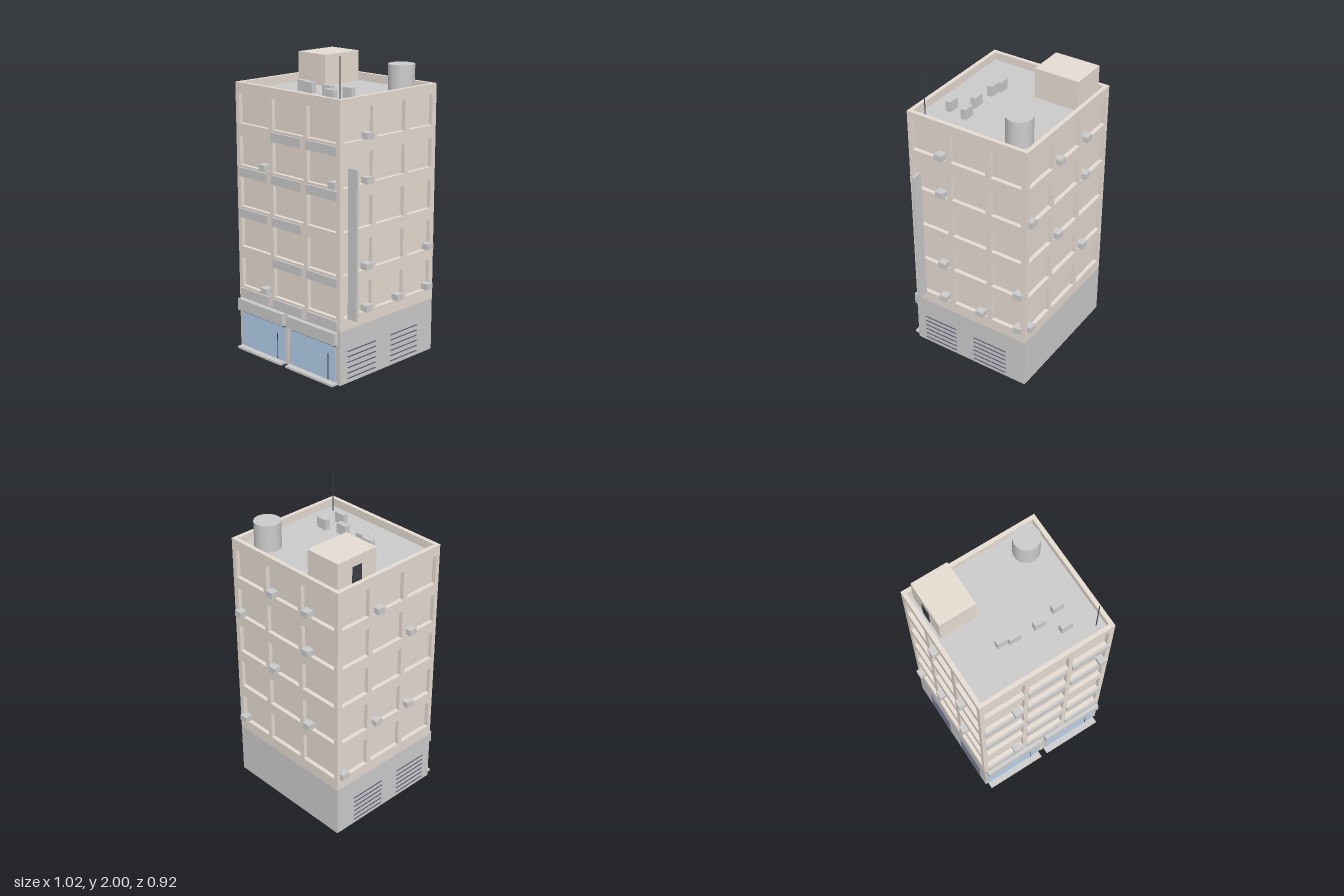
import * as THREE from 'three';

const mat = (color) => new THREE.MeshStandardMaterial({ color });
const grey = mat(0xcccccc), beige = mat(0xe6dcd2), roofGrey = mat(0xbcbcc0);
const glass = mat(0xb5d0ec), dark = mat(0x3c4048), slatBlue = mat(0x5c6078);

// Overall extents of the block
const X0 = -0.487, X1 = 0.437, Z0 = -0.437, Z1 = 0.41;
const BASE = 0.35, ROOF = 1.713, TOP = 1.765, T = 0.027;
const sills = [1.506, 1.237, 0.967, 0.698, 0.429];
const bayH = 0.192;
const baysX = [[-0.456, -0.181], [-0.149, 0.126], [0.157, 0.403]];
const baysZ = [[-0.4, -0.185], [-0.148, 0.1], [0.135, 0.38]];

export function createModel() {
  const model = new THREE.Group();

  const add = (parent, name, geometry, material) => {
    const mesh = new THREE.Mesh(geometry, material);
    mesh.name = name;
    parent.add(mesh);
    return mesh;
  };
  // Box given by its minimum and maximum on each axis
  const box = (name, material, x0, x1, y0, y1, z0, z1, parent = model) => {
    const mesh = add(parent, name, new THREE.BoxGeometry(x1 - x0, y1 - y0, z1 - z0), material);
    mesh.position.set((x0 + x1) / 2, (y0 + y1) / 2, (z0 + z1) / 2);
    return mesh;
  };
  const group = (name) => {
    const g = new THREE.Group();
    g.name = name;
    model.add(g);
    return g;
  };

  // Ground floor, core and roof deck
  box('groundFloor', grey, X0, X1, 0, BASE, Z0, Z1);
  box('core', beige, X0 + T, X1 - T, BASE, ROOF - 0.01, Z0 + T, Z1 - T);
  box('roofDeck', roofGrey, X0 + T, X1 - T, ROOF - 0.01, ROOF, Z0 + T, Z1 - T);

  // Pierced facade layers rising into the parapet
  const facade = (name, a, b, bays) => {
    const shape = new THREE.Shape([[a, BASE], [b, BASE], [b, TOP], [a, TOP]]
      .map(([u, v]) => new THREE.Vector2(u, v)));
    for (const s of sills) for (const [p, q] of bays) {
      shape.holes.push(new THREE.Path([[p, s], [p, s + bayH], [q, s + bayH], [q, s]]
        .map(([u, v]) => new THREE.Vector2(u, v))));
    }
    return add(model, name, new THREE.ExtrudeGeometry(shape, { depth: T, bevelEnabled: false }), beige);
  };
  facade('frontFacade', X0, X1, baysX).position.z = Z1 - T;
  facade('backFacade', X0, X1, baysX).position.z = Z0;
  const flipped = baysZ.map(([a, b]) => [-b, -a]);
  for (const [name, x] of [['leftFacade', X1 - T], ['rightFacade', X0]]) {
    const side = facade(name, -(Z1 - T), -(Z0 + T), flipped);
    side.rotation.y = Math.PI / 2; // shape u runs along -z
    side.position.x = x;
  }

  // Shopfronts
  for (const [name, x0, x1, g0, g1, handle] of [
    ['rightShop', -0.472, -0.045, -0.452, -0.052, -0.12],
    ['leftShop', -0.01, 0.42, 0.01, 0.402, 0.34],
  ]) {
    const shop = group(name);
    box('fascia', grey, x0, x1, 0.265, 0.343, Z1, 0.443, shop);
    box('step', grey, x0 + 0.005, x1 - 0.005, 0, 0.014, Z1, 0.457, shop);
    box('shopWindow', glass, g0, g1, 0.014, 0.247, Z1 - 0.01, Z1 + 0.004, shop);
    box('windowHead', dark, g0, g1, 0.247, 0.252, Z1 - 0.01, Z1 + 0.005, shop);
    box('doorHandle', dark, handle - 0.002, handle + 0.002, 0.015, 0.19, Z1, Z1 + 0.007, shop);
  }
  box('centrePier', beige, -0.034, -0.014, 0, BASE, Z1 - 0.01, Z1 + 0.002);

  // Louvre vents on both sides of the ground floor
  const vents = group('sideVents');
  for (const x of [X0, X1]) {
    for (const [z0, z1] of [[-0.29, -0.042], [0.097, 0.343]]) {
      for (let i = 0; i < 6; i++) {
        const y = 0.03 + i * 0.0355;
        box('ventSlat', slatBlue, x - 0.004, x + 0.004, y - 0.003, y + 0.003, z0, z1, vents);
      }
    }
  }

  // Board signs below the front bays, one list of columns per floor
  const boards = group('floorBoards');
  const boardX = [-0.461, -0.153, 0.156];
  [[1, 2], [0, 1, 2], [0, 1], [1, 2], [0, 1, 2]].forEach((cols, row) => {
    const y = sills[row] - 0.072;
    for (const c of cols) {
      box('floorBoard', grey, boardX[c], boardX[c] + 0.264, y, y + 0.057, Z1, Z1 + 0.011, boards);
    }
  });

  // Air conditioners as [position along wall, floor row]
  const units = group('airConditioners');
  const UX = [-0.228, 0.079, 0.386], UZ = [-0.386, -0.103, 0.178];
  const D = 0.024, W = 0.028, H = 0.04;
  for (const [c, r] of [[0, 1], [2, 1], [0, 4]])
    box('airConditioner', grey, UX[c] - W, UX[c] + W, sills[r], sills[r] + H, Z1 - T, Z1 + D, units);
  for (const [c, r] of [[0, 0], [0, 1], [0, 3], [1, 0], [1, 2], [2, 1], [2, 4]])
    box('airConditioner', grey, UX[c] - W, UX[c] + W, sills[r], sills[r] + H, Z0 - D, Z0 + T, units);
  for (const [c, r] of [[2, 0], [2, 1], [2, 3], [2, 4], [0, 3], [0, 4], [1, 4]])
    box('airConditioner', grey, X1 - T, X1 + D, sills[r], sills[r] + H, UZ[c] - W, UZ[c] + W, units);
  for (const [c, r] of [[1, 0], [2, 1], [1, 3], [2, 3], [0, 4]])
    box('airConditioner', grey, X0 - D, X0 + T, sills[r], sills[r] + H, UZ[c] - W, UZ[c] + W, units);

  // Tall blade sign on the side wall
  box('bladeSign', grey, X1, 0.508, 0.418, 1.355, 0.326, 0.344);

  // Roof: stair house, tank, antenna and small units
  box('stairHouse', beige, -0.435, -0.19, ROOF, 1.912, -0.39, -0.083);
  box('stairDoor', dark, -0.438, -0.43, ROOF, 1.85, -0.275, -0.2);
  const tank = add(model, 'waterTank', new THREE.CylinderGeometry(0.084, 0.084, 1.886 - ROOF, 32), grey);
  tank.position.set(0.282, (1.886 + ROOF) / 2, -0.283);
  const antenna = add(model, 'antenna', new THREE.CylinderGeometry(0.003, 0.003, 2 - ROOF, 8), dark);
  antenna.position.set(0.36, (2 + ROOF) / 2, 0.333);
  const roofUnits = group('roofUnits');
  for (const [x, z] of [[-0.158, 0.133], [-0.088, 0.15], [0.083, 0.155], [0.227, 0.125], [0.202, 0.253]])
    box('roofUnit', grey, x - 0.038, x + 0.038, ROOF, 1.781, z - 0.018, z + 0.018, roofUnits);

  return model;
}
